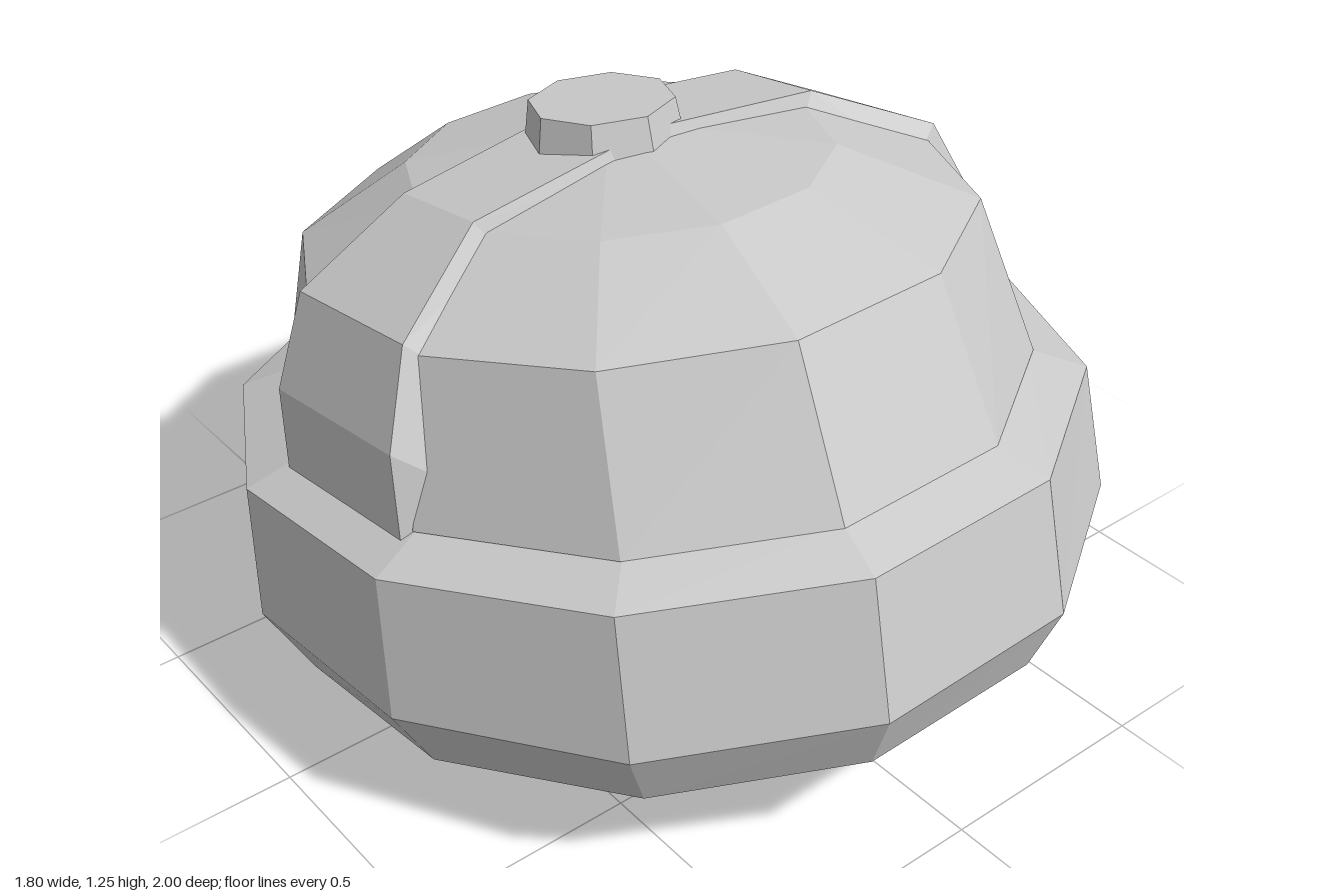
import * as THREE from 'three';

const material = new THREE.MeshStandardMaterial({ color: 0xcccccc, flatShading: true });
const SIDES = 12;
const ROLL = 0.025; // the whole cap sits slightly higher on its left

// Twelve-sided tilted ring: hx and hz are half extents measured to the flats
function ring(cz, hx, hz, y, slope, roll = ROLL) {
  const flat = Math.cos(Math.PI / SIDES);
  return Array.from({ length: SIDES }, (_, i) => {
    const a = ((i + 0.5) / SIDES) * Math.PI * 2;
    const dx = (hx / flat) * Math.sin(a);
    const dz = (hz / flat) * Math.cos(a);
    return [dx, y + slope * dz + roll * dx, cz + dz];
  });
}

// Skin a series of closed loops, each counter-clockwise seen from the next
function loft(name, loops, capped = false) {
  const pos = [];
  const n = loops[0].length;
  const tri = (a, b, c) => pos.push(...a, ...b, ...c);
  for (let k = 0; k < loops.length - 1; k++) {
    const lo = loops[k], hi = loops[k + 1];
    for (let i = 0; i < n; i++) {
      const j = (i + 1) % n;
      tri(lo[i], lo[j], hi[j]);
      tri(lo[i], hi[j], hi[i]);
    }
  }
  if (capped) {
    const first = loops[0], last = loops[loops.length - 1];
    for (let i = 1; i < n - 1; i++) {
      tri(first[0], first[i + 1], first[i]);
      tri(last[0], last[i], last[i + 1]);
    }
  }
  const geometry = new THREE.BufferGeometry();
  geometry.setAttribute('position', new THREE.Float32BufferAttribute(pos, 3));
  geometry.computeVertexNormals();
  const mesh = new THREE.Mesh(geometry, material);
  mesh.name = name;
  return mesh;
}

export function createModel() {
  const group = new THREE.Group();
  group.name = 'cap';

  // Faceted crown
  group.add(loft('crown', [
    ring(-0.035, 0.765, 0.85, 0.637, 0.153),
    ring(-0.09, 0.69, 0.735, 0.975, 0.156),
    ring(-0.14, 0.425, 0.48, 1.105, 0.15),
    ring(-0.16, 0, 0, 1.18, 0),
  ]));

  // Folded cuff, from the lower inner rim around the outside to the crown
  const innerRim = ring(0.06, 0.69, 0.765, 0.122, 0.153);
  group.add(loft('cuff', [
    innerRim,
    ring(0.06, 0.82, 0.882, 0.147, 0.153),
    ring(0.02, 0.9, 0.98, 0.31, 0.13, 0.04),
    ring(-0.035, 0.875, 0.965, 0.592, 0.148),
    ring(-0.035, 0.75, 0.84, 0.64, 0.153),
  ]));

  // Inside of the cap
  group.add(loft('lining', [
    ring(-0.03, 0, 0, 0.72, 0),
    ring(0, 0.62, 0.69, 0.61, 0.15),
    innerRim,
  ]));

  // Raised strap over the top: x, y, front z, back z
  const half = [
    [0.79, 0.59, 0.185, -0.255],
    [0.79, 0.81, 0.17, -0.26],
    [0.708, 1.005, 0.11, -0.28],
    [0.45, 1.14, -0.02, -0.275],
    [0, 1.197, -0.02, -0.285],
  ];
  const mirrored = half.slice(0, -1).reverse().map(([x, ...rest]) => [-x, ...rest]);
  group.add(loft('strap', [...half, ...mirrored].map(([x, y, zf, zb]) => {
    const at = (z, s, drop) => [x * s, y + 0.155 * (z + 0.1) + ROLL * x - drop, z];
    return [at(zf, 1, 0), at(zb, 1, 0), at(zb, 0.9, 0.07), at(zf + 0.025, 0.9, 0.07)];
  }), true));

  // Low eight-sided button
  const button = new THREE.Mesh(new THREE.CylinderGeometry(0.157, 0.172, 0.09, 8), material);
  button.name = 'button';
  button.position.set(-0.025, 1.19, -0.152);
  button.rotation.x = -0.1;
  group.add(button);

  return group;
}
